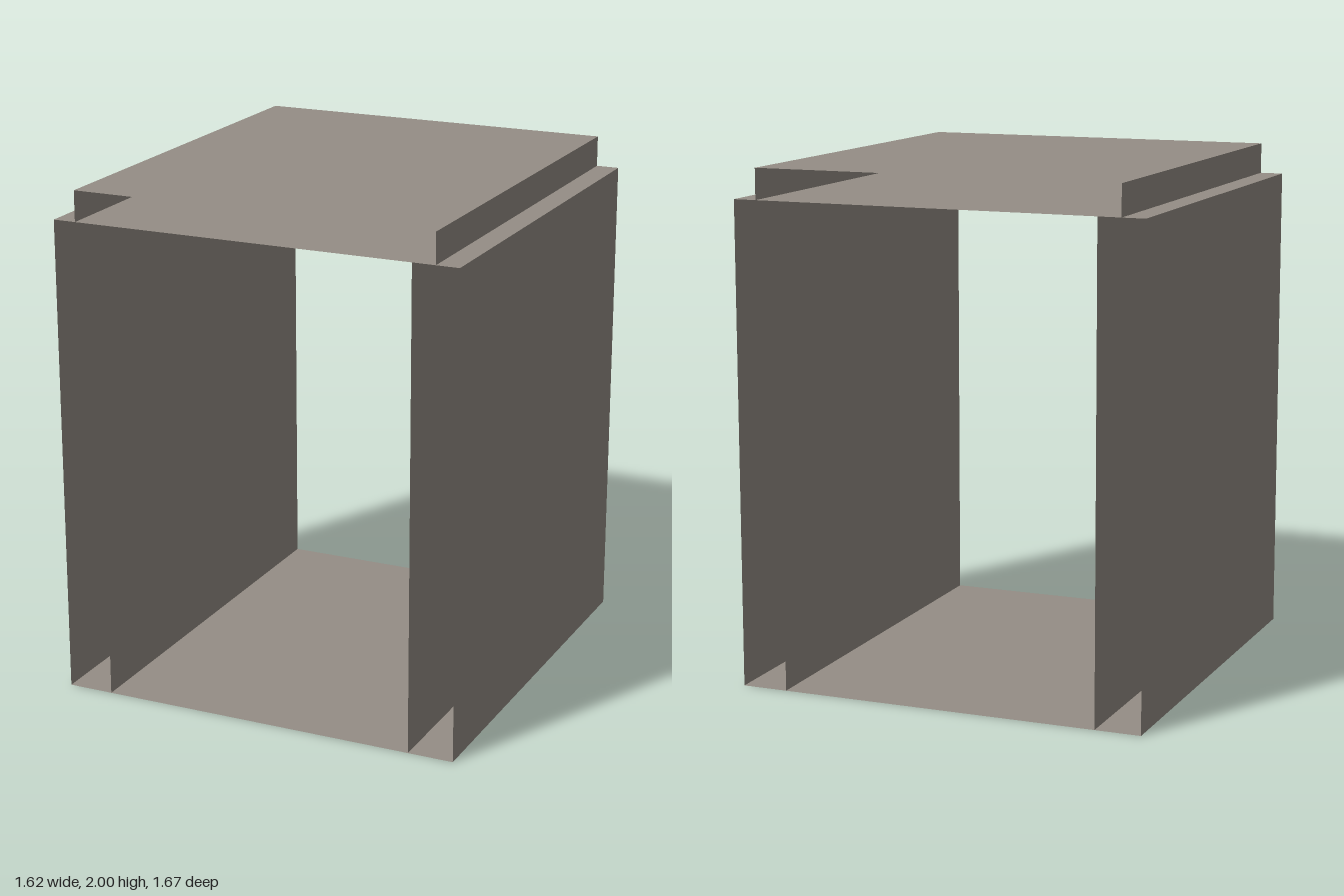
import * as THREE from 'three';

const DEPTH = 1.67; // every panel runs the full depth, open at front and back
const OUTER = 0.81, INNER = 0.63, CAP = 0.72; // half widths
const SHOULDER = 1.88, TOP = 2;

export function createModel() {
  const model = new THREE.Group();
  model.name = 'openBox';
  const material = new THREE.MeshStandardMaterial({ color: 0x958e86, side: THREE.DoubleSide });

  // Thin horizontal panel, centred on x
  function addLevel(name, halfWidth, y) {
    const geometry = new THREE.PlaneGeometry(2 * halfWidth, DEPTH).rotateX(-Math.PI / 2);
    const mesh = new THREE.Mesh(geometry, material);
    mesh.name = name;
    mesh.position.y = y;
    model.add(mesh);
  }

  // Thin upright panels, mirrored left and right, facing outward
  function addSides(name, x, bottom, top) {
    for (const side of [1, -1]) {
      const geometry = new THREE.PlaneGeometry(DEPTH, top - bottom).rotateY(side * Math.PI / 2);
      const mesh = new THREE.Mesh(geometry, material);
      mesh.name = (side > 0 ? 'left' : 'right') + name;
      mesh.position.set(side * x, (bottom + top) / 2, 0);
      model.add(mesh);
    }
  }

  // Floor and hollow double walls
  addLevel('floor', OUTER, 0);
  addSides('OuterWall', OUTER, 0, SHOULDER);
  addSides('InnerWall', INNER, 0, SHOULDER);

  // Ceiling with its ledges, and the narrower hollow cap above
  addLevel('ceiling', OUTER, SHOULDER);
  addSides('CapSide', CAP, SHOULDER, TOP);
  addLevel('capTop', CAP, TOP);

  return model;
}
